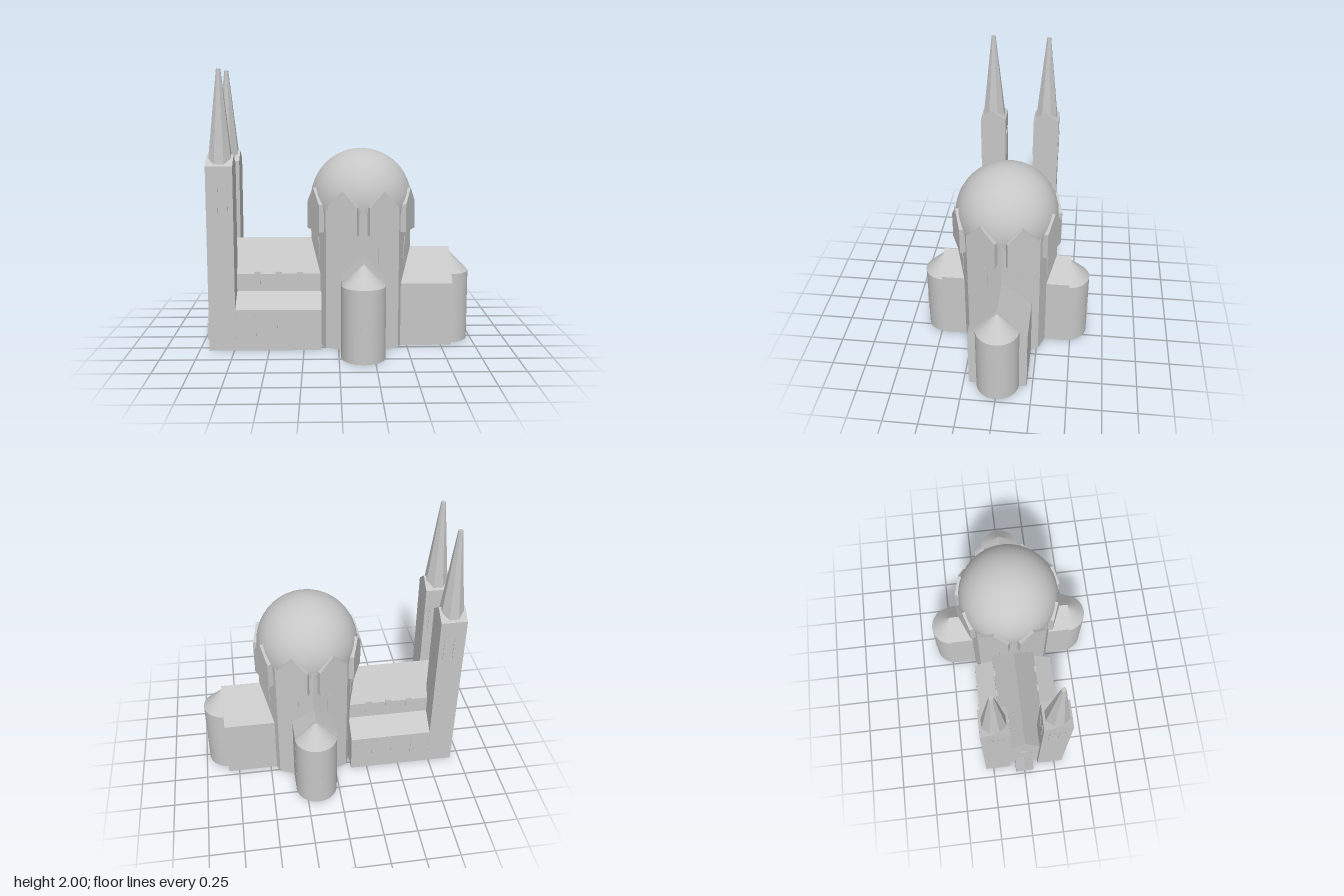
import * as THREE from 'three';

export function createModel() {
  const root = new THREE.Group();
  const stone = new THREE.MeshStandardMaterial({ color: 0xc6c6c6 });
  stone.name = 'grey stone';

  const add = (name, geo, x = 0, y = 0, z = 0, ry = 0) => {
    const m = new THREE.Mesh(geo, stone);
    m.name = name;
    m.position.set(x, y, z);
    m.rotation.y = ry;
    root.add(m);
    return m;
  };
  const extrude = (pts, depth) => new THREE.ExtrudeGeometry(
    new THREE.Shape(pts.map(p => new THREE.Vector2(...p))), { depth, bevelEnabled: false });

  // Gabled block, ridge along x (or along z when alongZ is set)
  const gabled = (name, half, eave, ridge, from, to, offset = 0, alongZ = false) => {
    const geo = extrude([[-half, 0], [half, 0], [half, eave], [0, ridge], [-half, eave]], to - from);
    return alongZ ? add(name, geo, offset, 0, from) : add(name, geo, from, 0, offset, Math.PI / 2);
  };

  // Upright pointed plate whose back sits at (x, z), facing angle ry
  const pointed = (name, w, y0, shoulder, y1, x, z, ry, depth = 0.006) =>
    add(name, extrude([[-w / 2, y0], [w / 2, y0], [w / 2, shoulder], [0, y1], [-w / 2, shoulder]], depth), x, 0, z, ry);

  // Pointed arch window with curved shoulders
  const arch = (name, w, y0, y1, x, z, ry) => {
    const h = w / 2, s = y1 - w * 1.05;
    const shape = new THREE.Shape();
    shape.moveTo(-h, y0);
    shape.lineTo(h, y0);
    shape.lineTo(h, s);
    shape.quadraticCurveTo(h * 0.85, s + w * 0.55, 0, y1);
    shape.quadraticCurveTo(-h * 0.85, s + w * 0.55, -h, s);
    add(name, new THREE.ExtrudeGeometry(shape, { depth: 0.006, bevelEnabled: false, curveSegments: 4 }), x, 0, z, ry);
  };

  const flat = geo => { const g = geo.toNonIndexed(); g.computeVertexNormals(); return g; };
  const cx = 0.17; // centre of the crossing

  // Octagonal crossing drum and dome
  add('drum', flat(new THREE.CylinderGeometry(0.37, 0.37, 1.04, 8)), cx, 0.52, 0);
  add('dome', new THREE.SphereGeometry(0.37, 48, 32), cx, 1.065, 0);
  for (let i = 0; i < 8; i++) {
    const a = (i + 0.5) * Math.PI / 4, r = 0.34;
    const x = cx + r * Math.sin(a), z = r * Math.cos(a);
    pointed('drumGable', 0.22, 0.85, 1.05, 1.16, x, z, a, 0.042);
    arch('drumWindow', 0.05, 0.635, 0.8, x, z, a);
  }

  // Rounded apse with a conical roof
  const apse = (x, z) => {
    add('apse', new THREE.CylinderGeometry(0.155, 0.155, 0.52, 48), x, 0.26, z);
    add('apseRoof', new THREE.ConeGeometry(0.155, 0.155, 48), x, 0.5975, z);
  };

  // Choir
  gabled('choir', 0.21, 0.465, 0.7, 0.1, 0.83);
  apse(0.82, 0);

  // Transepts
  gabled('transept', 0.155, 0.545, 0.7, -0.475, 0.475, cx, true);
  for (const s of [-1, 1]) {
    apse(cx, s * 0.465);
    arch('apseWindow', 0.055, 0.11, 0.29, cx, s * 0.617, s > 0 ? 0 : Math.PI);
  }

  // Nave with lower side aisles
  gabled('nave', 0.165, 0.53, 0.77, -0.9, 0.1);
  add('aisles', extrude([[-0.312, 0], [0.312, 0], [0.312, 0.3], [0.165, 0.4], [-0.165, 0.4], [-0.312, 0.3]], 0.765),
    -0.89, 0, 0, Math.PI / 2);

  // West porch and rose window
  gabled('porch', 0.07, 0.13, 0.2, -0.98, -0.88);
  arch('door', 0.07, 0, 0.14, -0.974, 0, -Math.PI / 2);
  const rose = add('roseWindow', new THREE.CylinderGeometry(0.055, 0.055, 0.008, 24), -0.902, 0.39, 0);
  rose.rotation.z = Math.PI / 2;

  for (const s of [-1, 1]) {
    const out = s > 0 ? 0 : Math.PI;
    // Aisle and clerestory windows
    for (const x of [-0.62, -0.465, -0.31, -0.185])
      arch('aisleWindow', 0.055, 0.11, 0.29, x, s * 0.31, out);
    for (const x of [-0.59, -0.435, -0.28])
      add('clerestoryWindow', new THREE.BoxGeometry(0.045, 0.095, 0.02), x, 0.4975, s * 0.16);

    // Tower, roof and spire
    const tx = -0.835, tz = s * 0.213;
    gabled('tower', 0.1, 1.33, 1.405, tx - 0.095, tx + 0.095, tz);
    const spire = new THREE.CylinderGeometry(0.016, 0.092, 0.675, 8);
    spire.rotateY(Math.PI / 8);
    add('spire', flat(spire), tx, 1.6625, tz);
    for (const d of [-0.035, 0.035]) {
      arch('towerWindow', 0.048, 1.0, 1.22, tx + d, tz + 0.099, 0);
      arch('towerWindow', 0.048, 1.0, 1.22, tx + d, tz - 0.099, Math.PI);
      arch('towerWindow', 0.048, 1.0, 1.22, tx - 0.094, tz + d, -Math.PI / 2);
    }
  }
  return root;
}
